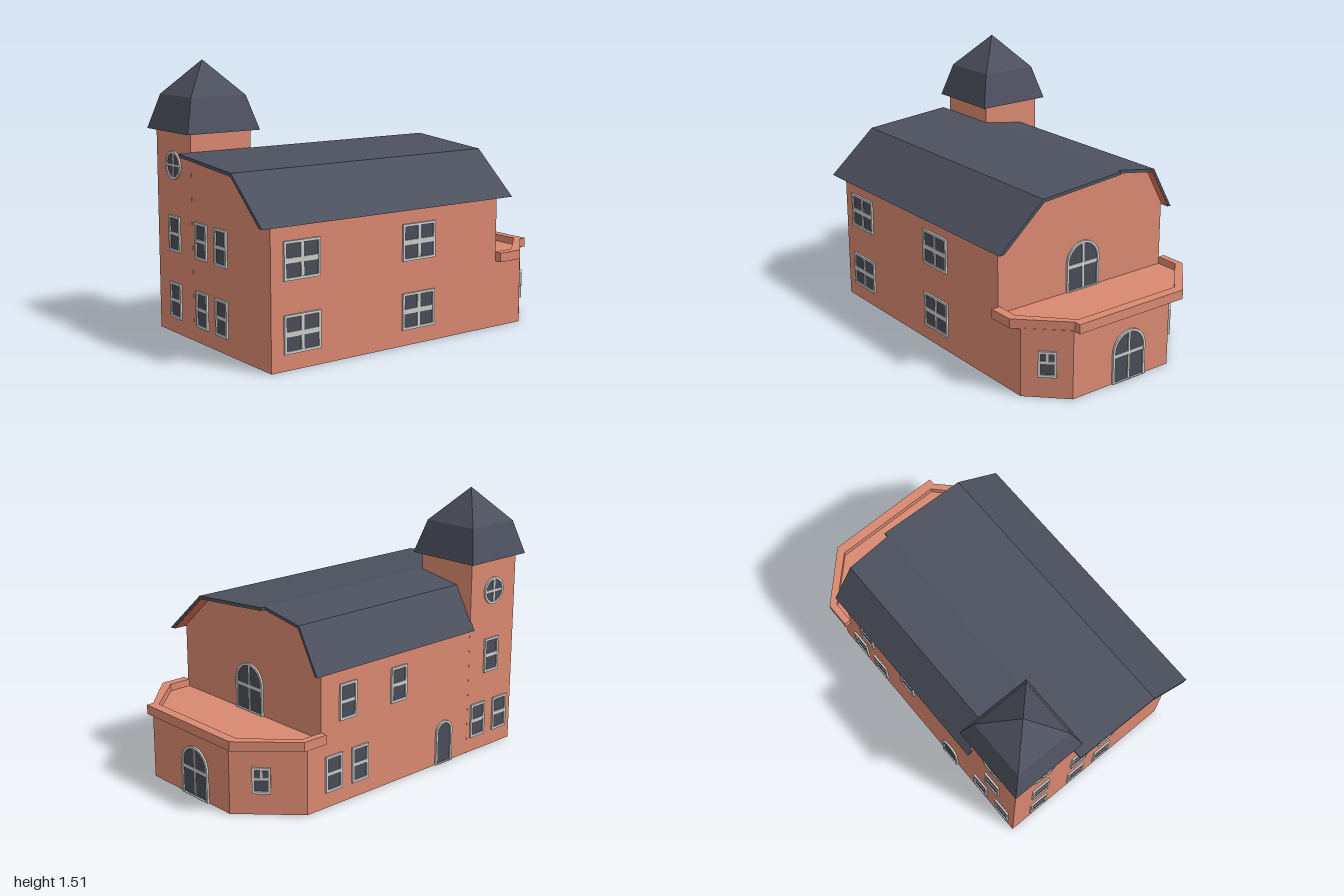
import * as THREE from 'three';

const mat = (color, side = THREE.FrontSide) =>
  new THREE.MeshStandardMaterial({ color, side, flatShading: true });

export function createModel() {
  const house = new THREE.Group();
  house.name = 'house';
  const wall = mat(0xd98870);
  const slate = mat(0x4d515e);
  const lining = mat(0xe06c55, THREE.DoubleSide);
  const glass = mat(0x4a4d58);
  const white = mat(0xcccccc);

  const add = (parent, name, geometry, material) => {
    const m = new THREE.Mesh(geometry, material);
    m.name = name;
    parent.add(m);
    return m;
  };
  const extrude = (shape, depth) =>
    new THREE.ExtrudeGeometry(shape, { depth, bevelEnabled: false, curveSegments: 16 });
  // [z, y] section swept along x
  const alongX = (pts, x0, x1) =>
    extrude(new THREE.Shape(pts.map(([z, y]) => new THREE.Vector2(-z, y))), x1 - x0)
      .rotateY(Math.PI / 2).translate(x0, 0, 0);
  // [x, z] plan raised along y
  const alongY = (pts, y0, y1) =>
    extrude(new THREE.Shape(pts.map(([x, z]) => new THREE.Vector2(x, -z))), y1 - y0)
      .rotateX(-Math.PI / 2).translate(0, y0, 0);

  // Main block with gambrel gables
  const base = 0.002;
  add(house, 'mainWalls', alongX([
    [0.565, base], [0.565, 0.758], [0.325, 0.968], [-0.195, 1.013], [-0.452, 0.97], [-0.57, 0.77], [-0.57, base],
  ], -0.925, 0.58), wall);
  add(house, 'floorPanel', new THREE.BoxGeometry(1.135, 0.004, 0.385).translate(0.022, 0.002, 0), lining);

  // Main roof: front half and shorter rear half, each a bent slab with a lining
  const bentSlab = (name, outer, inner, x0, x1) => {
    add(house, name, alongX([...outer, ...[...inner].reverse()], x0, x1), slate);
    const under = inner.map(([z, y]) => [z, y - 0.003]);
    add(house, name + 'Lining', alongX([...inner, ...under.reverse()], x0 + 0.002, x1 - 0.002), lining);
  };
  bentSlab('frontRoof',
    [[0.61, 0.745], [0.33, 0.988], [-0.195, 1.031]],
    [[0.58, 0.747], [0.323, 0.972], [-0.195, 1.016]], -1, 0.655);
  bentSlab('rearRoof',
    [[-0.195, 1.031], [-0.46, 0.988], [-0.597, 0.745]],
    [[-0.195, 1.016], [-0.452, 0.974], [-0.579, 0.747]], -0.56, 0.63);

  // Corner tower
  const tx = -0.738, tz = -0.383;
  add(house, 'towerWalls', new THREE.BoxGeometry(0.375, 1.138, 0.375).translate(tx, 0.571, tz), wall);
  const towerRoof = new THREE.Group();
  towerRoof.name = 'towerRoof';
  towerRoof.position.set(tx, 0, tz);
  house.add(towerRoof);
  const frustum = (name, top, bottom, y0, y1) =>
    add(towerRoof, name, new THREE.CylinderGeometry(top * Math.SQRT2, bottom * Math.SQRT2, y1 - y0, 4)
      .rotateY(Math.PI / 4).translate(0, (y0 + y1) / 2, 0), slate);
  frustum('lowerTowerRoof', 0.17, 0.225, 1.13, 1.32);
  frustum('upperTowerRoof', 0, 0.17, 1.32, 1.51);

  // Chamfered bay
  add(house, 'bayWalls', alongY([
    [0.57, 0.565], [0.77, 0.565], [0.96, 0.375], [0.96, -0.285], [0.675, -0.57], [0.57, -0.57],
  ], base, 0.385), wall);

  // Balcony on the bay: floor and raised rim
  const rimOuter = [[0.58, 0.605], [0.73, 0.605], [0.96, 0.37], [1, 0.37], [1, -0.345], [0.73, -0.61], [0.58, -0.61]];
  const rimInner = [[0.58, 0.555], [0.71, 0.555], [0.945, 0.335], [0.945, -0.335], [0.71, -0.57], [0.58, -0.57]];
  add(house, 'balconyFloor', alongY(rimInner, 0.38, 0.392), wall);
  add(house, 'balconyRim', alongY([...rimOuter, ...[...rimInner].reverse()], 0.38, 0.432), wall);

  // Outline of an opening, standing on its bottom centre
  const outline = (kind, w, h, inset = 0, sill = inset) => {
    const s = new THREE.Shape();
    const r = w / 2 - inset;
    if (kind === 'round') return s.absarc(0, h / 2, r, 0, Math.PI * 2);
    s.moveTo(-r, sill).lineTo(r, sill);
    if (kind === 'arch') s.lineTo(r, h - w / 2).absarc(0, h - w / 2, r, 0, Math.PI);
    else s.lineTo(r, h - inset).lineTo(-r, h - inset);
    s.closePath();
    return s;
  };
  // bars: [x, y, width, height]
  const opening = (name, kind, w, h, bars, x, y, z, angle) => {
    const g = new THREE.Group();
    g.name = name;
    g.position.set(x, y, z);
    g.rotation.y = angle;
    house.add(g);
    const frame = outline(kind, w, h);
    frame.holes.push(outline(kind, w, h, 0.014, kind === 'arch' ? 0.004 : 0.014));
    add(g, 'frame', extrude(frame, 0.011), white);
    add(g, 'pane', extrude(outline(kind, w, h, 0.007), 0.004), glass);
    for (const [bx, by, bw, bh] of bars)
      add(g, 'bar', new THREE.BoxGeometry(bw, bh, 0.009).translate(bx, by, 0.0045), white);
  };

  const back = Math.PI, left = -Math.PI / 2, right = Math.PI / 2;
  const rows = [0.09, 0.465];

  // Wide four-pane windows on the front
  for (const y of rows)
    for (const x of [-0.74, 0.015])
      opening('frontWindow', 'rect', 0.222, 0.2,
        [[0, 0.1, 0.018, 0.18], [0, 0.1, 0.2, 0.026]], x, y, 0.565, 0);

  // Narrow two-pane windows on the back and left
  const sash = (name, x, y, z, angle) =>
    opening(name, 'rect', 0.118, 0.2, [[0, 0.1, 0.1, 0.02]], x, y, z, angle);
  for (const x of [-0.825, -0.635, 0.305, 0.495]) sash('backWindow', x, rows[0], -0.57, back);
  for (const x of [-0.735, 0.02, 0.395]) sash('backWindow', x, rows[1], -0.57, back);
  for (const y of rows)
    for (const z of [tz, -0.1, 0.1]) sash('leftWindow', -0.925, y, z, left);

  // Round tower windows
  const cross = [[0, 0.079, 0.014, 0.14], [0, 0.079, 0.14, 0.014]];
  opening('roundWindow', 'round', 0.158, 0.158, cross, tx, 0.865, -0.57, back);
  opening('roundWindow', 'round', 0.158, 0.158, cross, -0.925, 0.865, tz, left);

  // Arched doors
  opening('backDoor', 'arch', 0.13, 0.255, [], -0.35, base, -0.57, back);
  const doorBars = (h) => [[0, h / 2, 0.014, h - 0.014], [0, h - 0.132, 0.2, 0.02]];
  opening('bayDoor', 'arch', 0.224, 0.288, doorBars(0.288), 0.96, base, 0, right);
  opening('balconyDoor', 'arch', 0.224, 0.275, doorBars(0.275), 0.58, 0.392, 0, right);

  // Small windows on the bay chamfers
  const bayBars = [[0, 0.083, 0.08, 0.014], [0, 0.107, 0.012, 0.05]];
  opening('bayWindow', 'rect', 0.097, 0.145, bayBars, 0.867, 0.12, 0.468, Math.PI / 4);
  opening('bayWindow', 'rect', 0.097, 0.145, bayBars, 0.842, 0.12, -0.403, 3 * Math.PI / 4);

  return house;
}
